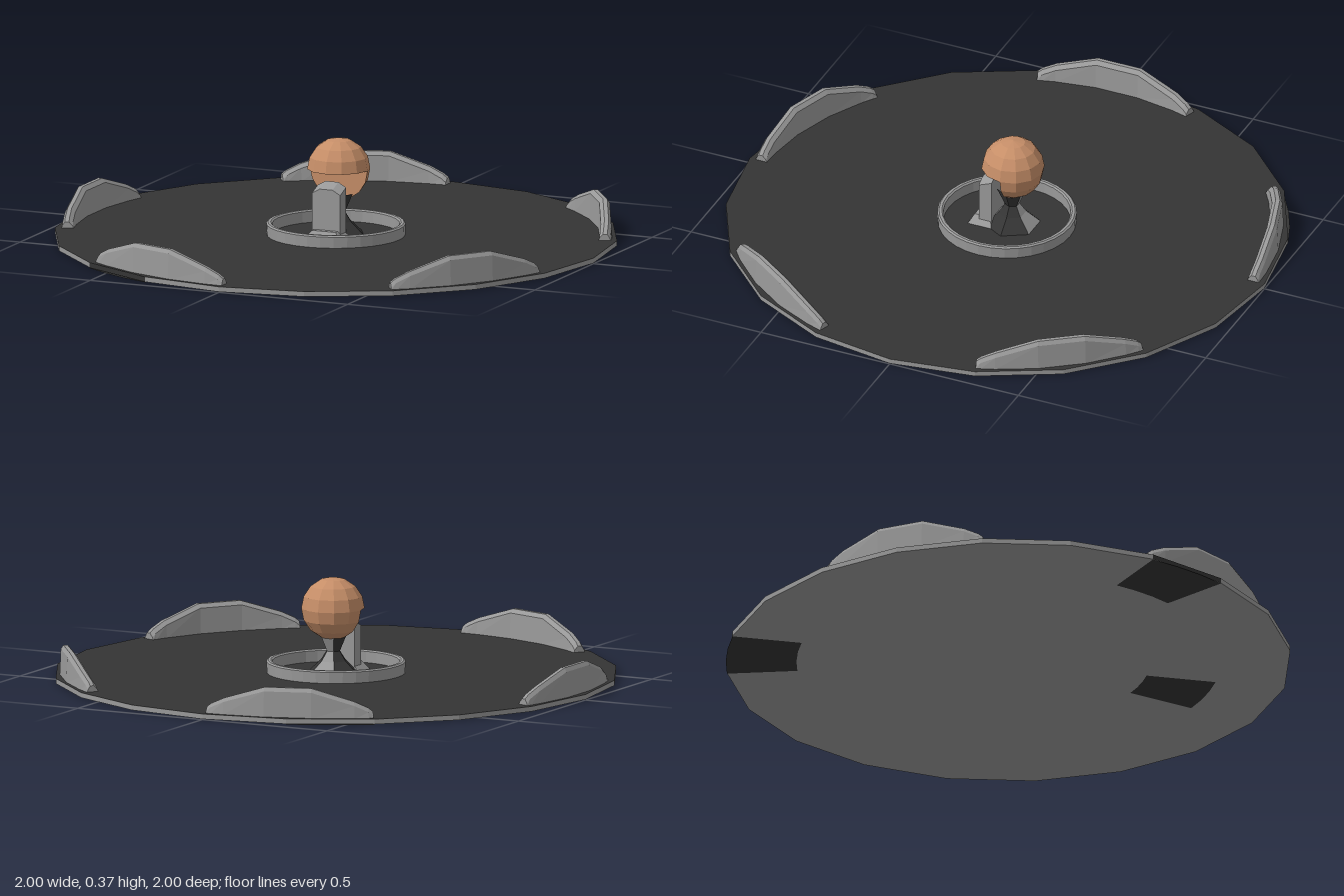
import * as THREE from 'three';

const grey = new THREE.MeshStandardMaterial({ color: 0x999999 });
grey.name = 'grey';
const dark = new THREE.MeshStandardMaterial({ color: 0x343434, side: THREE.DoubleSide });
dark.name = 'dark';
const tan = new THREE.MeshStandardMaterial({ color: 0xc68e68, side: THREE.DoubleSide });
tan.name = 'tan';

const rad = THREE.MathUtils.degToRad;

function flat(geo) {
  const g = geo.index ? geo.toNonIndexed() : geo;
  g.computeVertexNormals();
  return g;
}

function add(parent, name, geo, mat) {
  const mesh = new THREE.Mesh(geo, mat);
  mesh.name = name;
  parent.add(mesh);
  return mesh;
}

// Curved rim fin: a chamfered section swept round an arc with varying height
function finGeometry() {
  const stations = [[-18, 0.042], [-17, 0.055], [-14, 0.078], [-5, 0.125],
    [5, 0.125], [14, 0.078], [17, 0.055], [18, 0.042]];
  const pos = [], idx = [], n = 6;
  for (const [deg, h] of stations) {
    const section = [[0.978, 0.018], [0.974, h - 0.014], [0.965, h],
      [0.95, h], [0.937, h - 0.014], [0.933, 0.018]];
    for (const [r, y] of section) pos.push(r * Math.cos(rad(deg)), y, r * Math.sin(rad(deg)));
  }
  const last = stations.length - 1;
  for (let i = 0; i < last; i++) {
    for (let j = 0; j < n; j++) {
      const a = i * n + j, b = i * n + (j + 1) % n;
      idx.push(a, b, a + n, b, b + n, a + n);
    }
  }
  for (let j = 1; j < n - 1; j++) {
    idx.push(0, j + 1, j, last * n, last * n + j, last * n + j + 1);
  }
  const g = new THREE.BufferGeometry();
  g.setAttribute('position', new THREE.Float32BufferAttribute(pos, 3));
  g.setIndex(idx);
  return flat(g);
}

export function createModel() {
  const model = new THREE.Group();
  model.name = 'model';

  // Twenty-sided base plate with a dark top
  const plate = flat(new THREE.CylinderGeometry(1, 1, 0.018, 20));
  plate.translate(0, 0.011, 0);
  plate.clearGroups();
  plate.addGroup(0, 120, 0);
  plate.addGroup(120, 60, 1);
  plate.addGroup(180, 60, 0);
  add(model, 'basePlate', plate, [grey, dark]);

  // Dark patches under the plate and one on its rim
  for (const [inner, start] of [[0.75, 108], [0.75, 234], [0.5, 36]]) {
    const patch = new THREE.RingGeometry(inner, inner + 0.25, 1, 1, rad(start), rad(18));
    patch.rotateX(Math.PI / 2);
    add(model, 'undersidePatch', patch, dark);
  }
  const rimPatch = new THREE.CylinderGeometry(1.001, 1.001, 0.018, 1, 1, true, rad(-36), rad(18));
  add(model, 'rimPatch', flat(rimPatch), dark).position.y = 0.011;

  // Five fins round the rim
  const fin = finGeometry();
  for (const deg of [36, 108, 180, 252, 324]) {
    add(model, 'rimFin', fin, grey).rotation.y = -rad(deg);
  }

  // Central ring
  const ringProfile = [[0.225, 0.02], [0.245, 0.02], [0.247, 0.06], [0.241, 0.065],
    [0.231, 0.065], [0.225, 0.06], [0.225, 0.02]].map(([x, y]) => new THREE.Vector2(x, y));
  add(model, 'centreRing', flat(new THREE.LatheGeometry(ringProfile, 32)), grey);

  // Waisted pedestal: grey at front and back, dark at the sides
  const pedestal = [[0.1, 0.02], [0.05, 0.065], [0.026, 0.1], [0.055, 0.165]]
    .map(([x, y]) => new THREE.Vector2(x, y));
  for (const [start, mat] of [[-30, grey], [30, dark], [150, grey], [210, dark]]) {
    const span = mat === grey ? 60 : 120;
    const g = new THREE.LatheGeometry(pedestal, span / 60, rad(start), rad(span));
    add(model, 'pedestal', flat(g), mat).position.z = -0.02;
  }

  // Front post with a peaked, sloping top
  const outline = new THREE.Shape();
  outline.moveTo(-0.055, 0.02);
  outline.lineTo(0.055, 0.02);
  outline.lineTo(0.055, 0.18);
  outline.lineTo(0.025, 0.197);
  outline.lineTo(-0.025, 0.197);
  outline.lineTo(-0.055, 0.18);
  const post = new THREE.ExtrudeGeometry(outline, { depth: 0.05, bevelEnabled: false });
  post.translate(0, 0, 0.035);
  const p = post.attributes.position;
  for (let i = 0; i < p.count; i++) {
    if (p.getY(i) > 0.1 && p.getZ(i) < 0.05) p.setY(i, p.getY(i) + 0.02);
  }
  add(model, 'frontPost', flat(post), grey);

  // Flared foot of the post
  const foot = new THREE.CylinderGeometry(0.065, 0.1, 0.03, 4, 1, false, Math.PI / 4);
  foot.scale(1, 1, 0.65);
  add(model, 'postFoot', flat(foot), grey).position.set(0, 0.035, 0.075);

  // Faceted head, open at the lower front
  const head = new THREE.Group();
  head.name = 'head';
  head.position.set(0, 0.253, -0.023);
  model.add(head);
  const R = 0.112;
  add(head, 'upperHead',
    flat(new THREE.SphereGeometry(R, 12, 4, 0, Math.PI * 2, 0, Math.PI / 2)), tan);
  add(head, 'lowerBackHead',
    flat(new THREE.SphereGeometry(R, 6, 4, Math.PI, Math.PI, Math.PI / 2, Math.PI / 2)), tan);

  // Mouth: shallow roof and flat back wall
  const roof = new THREE.ConeGeometry(R, 0.02, 12, 1, true);
  roof.rotateX(Math.PI);
  add(head, 'mouthRoof', flat(roof), tan).position.y = -0.01;
  add(head, 'mouthBack', new THREE.CircleGeometry(R, 8, Math.PI, Math.PI), tan);

  return model;
}
